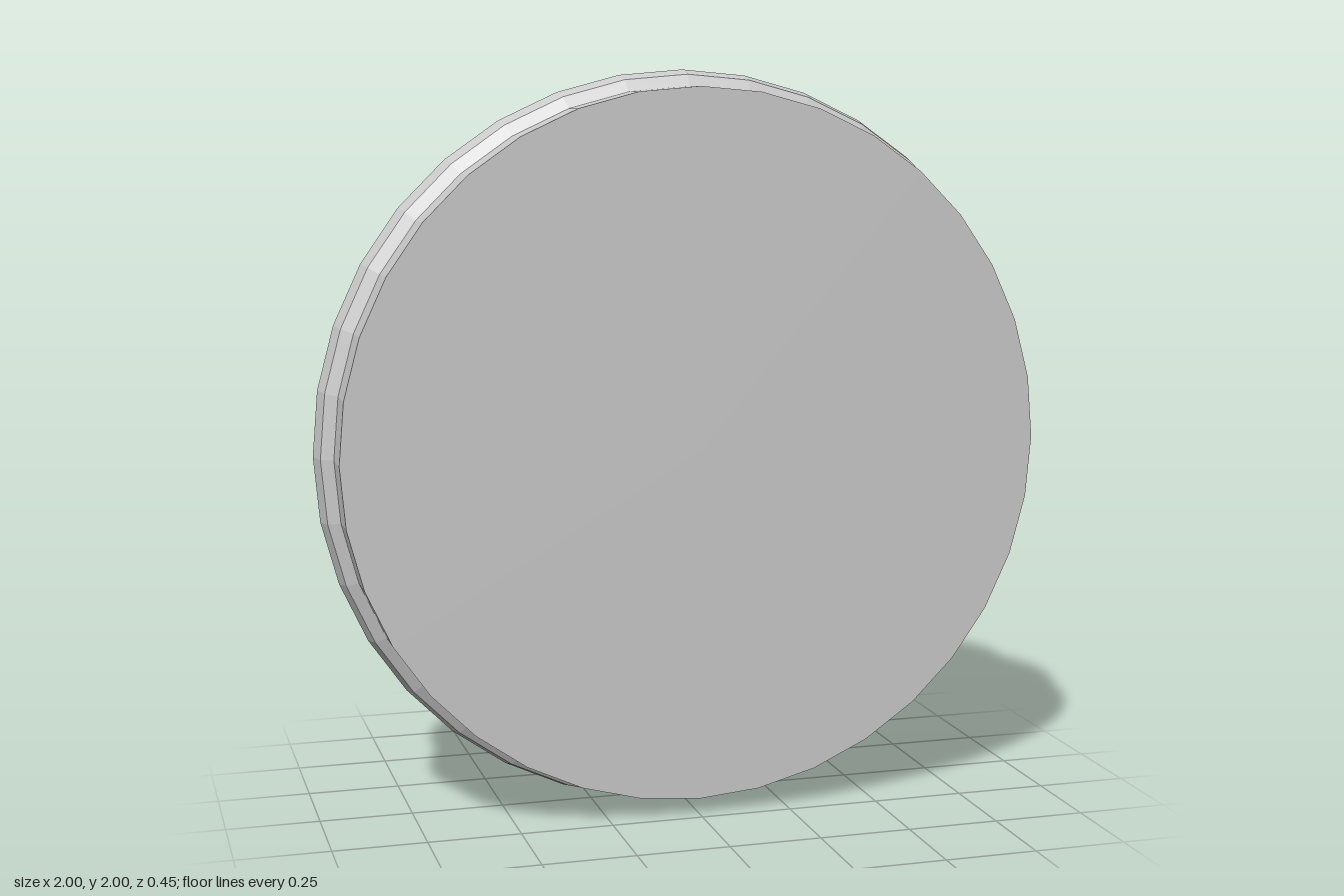
import * as THREE from 'three';

const SIDES = 36;
const RADIUS = 0.955;

export function createModel() {
  const model = new THREE.Group();
  model.name = 'bandedDisc';
  const material = new THREE.MeshStandardMaterial({ color: 0xcccccc, flatShading: true });

  // Parts are turned about y, then tipped so their axis runs along z
  const add = (name, geometry, z) => {
    const mesh = new THREE.Mesh(geometry.rotateX(Math.PI / 2), material);
    mesh.name = name;
    mesh.position.set(0, 1, z);
    model.add(mesh);
  };

  // Thick solid disc
  add('disc', new THREE.CylinderGeometry(RADIUS, RADIUS, 0.454, SIDES), 0);

  // Raised band: flattened eight-sided section, set slightly forward
  const section = [];
  for (let i = 0; i <= 8; i++) {
    const a = (i / 8) * Math.PI * 2;
    section.push(new THREE.Vector2(RADIUS + 0.045 * Math.cos(a), 0.075 * Math.sin(a)));
  }
  add('rimBand', new THREE.LatheGeometry(section, SIDES), 0.046);

  return model;
}
